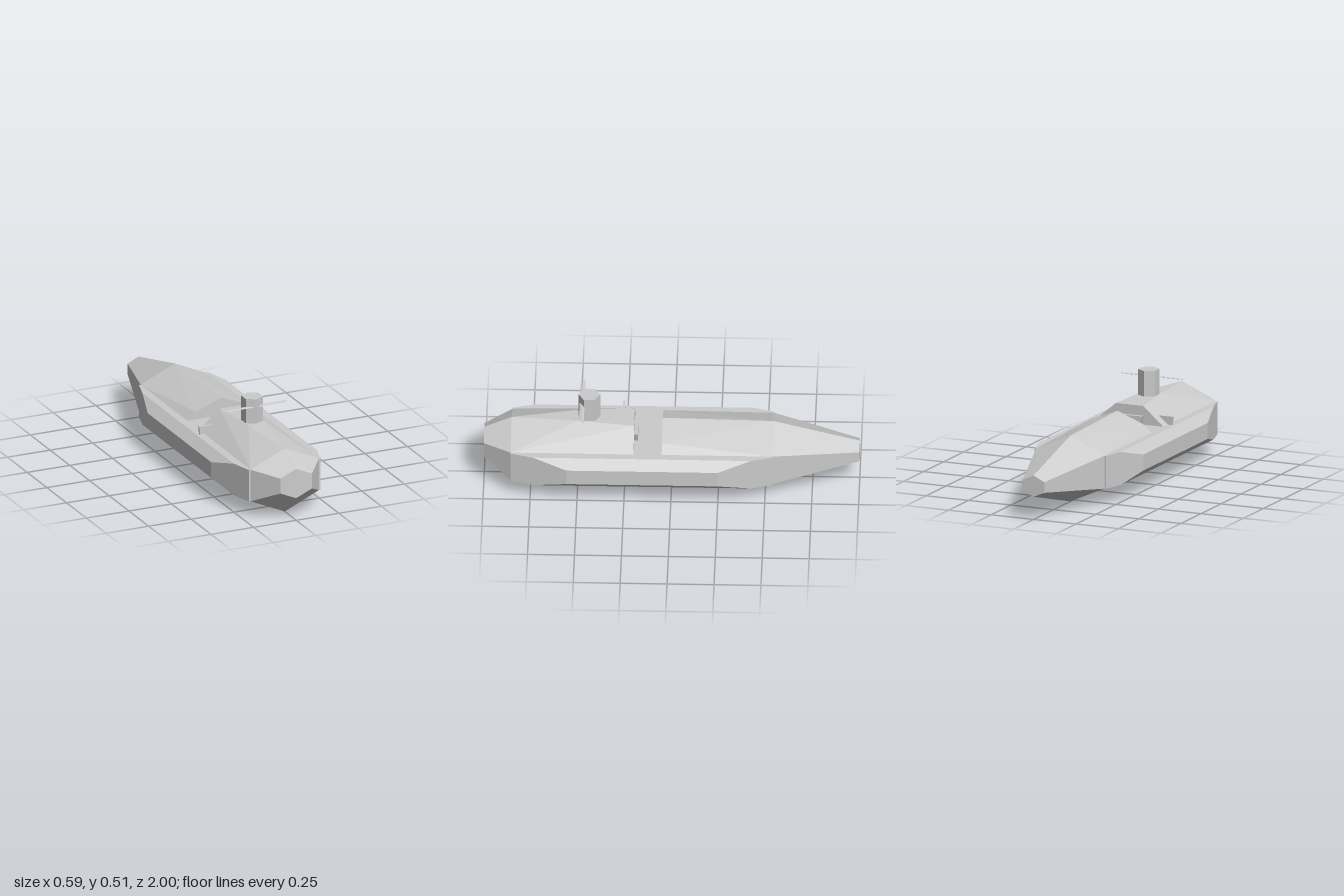
import * as THREE from 'three';
import { ConvexGeometry } from 'three/addons/geometries/ConvexGeometry.js';

const material = new THREE.MeshStandardMaterial({ color: 0xcccccc, flatShading: true });

// Solid through cross-sections; each section is z plus right-half [x, y] points, mirrored in x
function solid(name, sections, mirror = true) {
  const points = [];
  for (const [z, ...half] of sections) {
    for (const [x, y] of half) {
      points.push(new THREE.Vector3(x, y, z));
      if (mirror && x > 0) points.push(new THREE.Vector3(-x, y, z));
    }
  }
  const mesh = new THREE.Mesh(new ConvexGeometry(points), material);
  mesh.name = name;
  return mesh;
}

export function createModel() {
  const model = new THREE.Group();
  model.name = 'submarine';

  // Hexagonal hull: tapered bow, long middle, tapered stern
  const hex = [[0, 0.36], [0.2, 0.27], [0.2, 0.09], [0, 0]];
  const keel = hex.slice(1);
  model.add(solid('bow', [
    [0.855, ...hex],
    [1, [0, 0.293], [0.093, 0.252], [0.093, 0.167], [0, 0.126]],
  ]));
  model.add(solid('hull', [[0.855, ...keel], [-0.54, ...keel]]));
  model.add(solid('stern', [
    [-0.54, ...hex],
    [-1, [0, 0.24], [0.065, 0.21], [0.065, 0.152], [0, 0.124]],
  ]));

  // Raised decks with an open well between them
  model.add(solid('frontDeck', [
    [0.855, [0, 0.36], [0.2, 0.27]],
    [0.5, [0.05, 0.378], [0.2, 0.27]],
    [0.2, [0.08, 0.372], [0.2, 0.27]],
  ]));
  model.add(solid('rearDeck', [
    [0.05, [0, 0.37], [0.15, 0.312], [0.2, 0.27]],
    [-0.54, [0, 0.36], [0.2, 0.27]],
  ]));

  // Side pods with chamfered outer edges and tapered ends
  const full = (x) => [[0.2, 0.27], [x, 0.27], [x, 0.09], [0.2, 0.09]];
  const wide = [[0.2, 0.27], [0.243, 0.27], [0.293, 0.224], [0.293, 0.136], [0.243, 0.09], [0.2, 0.09]];
  const podSections = [
    [0.855, ...full(0.21)], [0.735, ...full(0.243)],
    [0.555, ...wide], [-0.25, ...wide],
    [-0.425, ...full(0.243)], [-0.54, ...full(0.21)],
  ];
  for (const side of [1, -1]) {
    const sections = podSections.map(([z, ...pts]) => [z, ...pts.map(([x, y]) => [x * side, y])]);
    model.add(solid(side > 0 ? 'leftPod' : 'rightPod', sections, false));
  }

  // Hexagonal sail
  const sail = new THREE.Mesh(new THREE.CylinderGeometry(0.058, 0.058, 0.165, 6), material);
  sail.name = 'sail';
  sail.position.set(0, 0.4325, 0.44);
  model.add(sail);

  // Thin tapered sail planes
  for (const side of [1, -1]) {
    model.add(solid(side > 0 ? 'leftSailPlane' : 'rightSailPlane', [
      [0.465, [0, 0.469], [0.2 * side, 0.469]],
      [0.478, [0, 0.465], [0, 0.472], [0.17 * side, 0.465], [0.17 * side, 0.472]],
      [0.492, [0, 0.468], [0.165 * side, 0.468]],
    ], false));
  }

  // Small upright plates beside and inside the well
  model.add(solid('sideFin', [0.254, 0.266].map((z) =>
    [z, [-0.23, 0.315], [-0.13, 0.315], [-0.13, 0.265], [-0.225, 0.265]]), false));
  model.add(solid('wellFin', [0.18, 0.2].map((z) => [z, [0.085, 0.318], [0.07, 0.27]])));

  return model;
}
